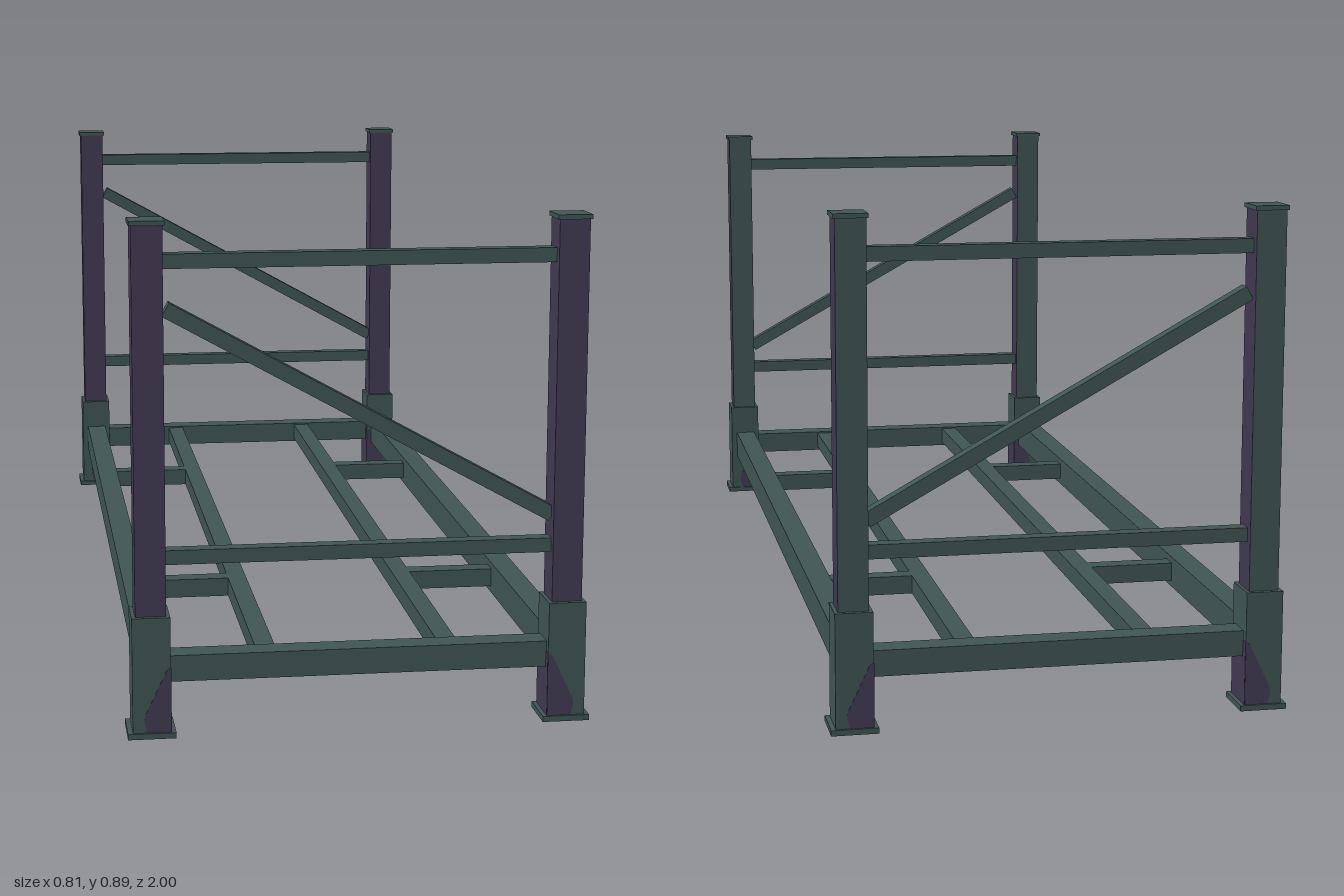
import * as THREE from 'three';

export function createModel() {
  const green = new THREE.MeshStandardMaterial({ color: 0x405655 });
  green.name = 'dark green steel';
  const purple = new THREE.MeshStandardMaterial({ color: 0x423a54 });
  purple.name = 'dark purple steel';

  const model = new THREE.Group();
  model.name = 'rackFrame';

  // Box given by its size and centre
  function box(parent, name, [w, h, d], [x, y, z], material = green) {
    const mesh = new THREE.Mesh(new THREE.BoxGeometry(w, h, d), material);
    mesh.position.set(x, y, z);
    mesh.name = name;
    parent.add(mesh);
    return mesh;
  }

  // Tapered purple patch on the end faces of a sleeve, widest near the foot
  const patch = new THREE.Shape([
    [0.033, 0.01], [0.033, 0.125], [0.026, 0.12], [-0.012, 0.04],
    [-0.013, 0.028], [-0.008, 0.01],
  ].map(([x, y]) => new THREE.Vector2(x, y)));
  const patchGeometry = new THREE.ExtrudeGeometry(patch, { depth: 0.001, bevelEnabled: false });

  // Corner posts with sleeve, foot plate and cap
  const postX = 0.362, postZ = 0.957;
  const postMaterials = [purple, purple, purple, purple, purple, green];
  for (const sx of [-1, 1]) {
    for (const sz of [-1, 1]) {
      const corner = new THREE.Group();
      corner.name = (sz > 0 ? 'front' : 'back') + (sx > 0 ? 'Left' : 'Right') + 'Corner';
      corner.position.set(sx * postX, 0, sz * postZ);
      model.add(corner);
      box(corner, 'footPlate', [0.083, 0.01, 0.085], [0, 0.005, 0]);
      box(corner, 'sleeve', [0.066, 0.203, 0.076], [0, 0.1115, 0]);
      box(corner, 'post', [0.053, 0.672, 0.059], [0, 0.546, 0], postMaterials);
      box(corner, 'cap', [0.06, 0.008, 0.064], [0, 0.884, 0]);
      box(corner, 'innerPaint', [0.001, 0.114, 0.076], [-sx * 0.0333, 0.067, 0], purple);
      for (const face of [-1, 1]) {
        const paint = new THREE.Mesh(patchGeometry, purple);
        paint.name = 'taperedPaint';
        if (sx > 0) paint.rotation.y = Math.PI;
        paint.position.z = face * 0.0383 + (sx > 0 ? 0.0005 : -0.0005);
        corner.add(paint);
      }
    }
  }

  // End frames: lower beam, two thin rails and a diagonal brace
  for (const sz of [-1, 1]) {
    const end = new THREE.Group();
    end.name = sz > 0 ? 'frontEndFrame' : 'backEndFrame';
    end.position.z = sz * postZ;
    model.add(end);
    box(end, 'lowerBeam', [0.67, 0.046, 0.047], [0, 0.118, 0]);
    box(end, 'middleRail', [0.69, 0.025, 0.027], [0, 0.311, 0]);
    box(end, 'topRail', [0.69, 0.025, 0.027], [0, 0.818, 0]);
    const brace = box(end, 'diagonalBrace', [0.764, 0.026, 0.026], [0.003, 0.551, 0]);
    brace.rotation.z = -Math.atan2(0.37, 0.665);
  }

  // Side rails, inner runners and the short links between them
  for (const sx of [-1, 1]) {
    const side = sx > 0 ? 'left' : 'right';
    box(model, side + 'SideRail', [0.043, 0.059, 1.85], [sx * 0.361, 0.12, 0]);
    box(model, side + 'Runner', [0.035, 0.035, 1.87], [sx * 0.16, 0.12, 0]);
    for (const sz of [-1, 1]) {
      box(model, side + 'Link', [0.18, 0.035, 0.036], [sx * 0.26, 0.12, sz * 0.473]);
    }
  }
  return model;
}
